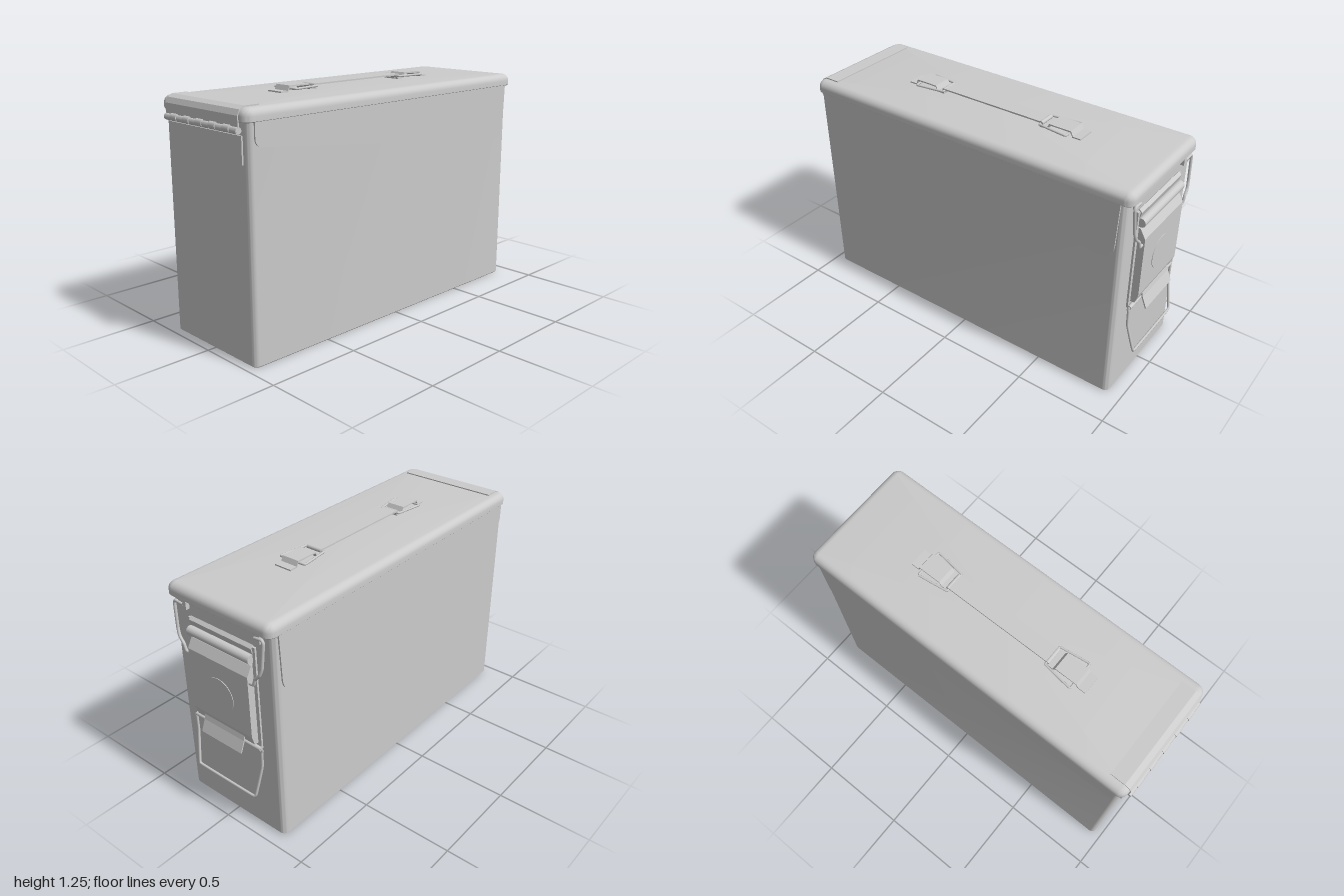
import * as THREE from 'three';
import { toCreasedNormals } from 'three/addons/utils/BufferGeometryUtils.js';

const material = new THREE.MeshStandardMaterial({ color: 0xcccccc, side: THREE.DoubleSide });

function add(parent, name, geometry, x = 0, y = 0, z = 0) {
  const mesh = new THREE.Mesh(geometry, material);
  mesh.name = name;
  mesh.position.set(x, y, z);
  parent.add(mesh);
  return mesh;
}

// Rounded-rectangle rings stacked in y; each level is [y, inset]
function roundedLoft(halfX, z0, z1, radius, levels) {
  const pos = [], index = [], seg = 8, n = 4 * (seg + 1);
  const midZ = (z0 + z1) / 2, halfZ = (z1 - z0) / 2;
  for (const [y, inset] of levels) {
    const r = radius - inset;
    for (let c = 0; c < 4; c++) {
      const sx = c === 0 || c === 3 ? 1 : -1, sz = c < 2 ? 1 : -1;
      for (let i = 0; i <= seg; i++) {
        const a = (c + i / seg) * Math.PI / 2;
        pos.push(sx * (halfX - radius) + r * Math.cos(a), y, midZ + sz * (halfZ - radius) + r * Math.sin(a));
      }
    }
  }
  const last = (levels.length - 1) * n;
  const bottom = pos.length / 3, top = bottom + 1;
  pos.push(0, levels[0][0], midZ, 0, levels[levels.length - 1][0], midZ);
  for (let j = 0; j < n; j++) {
    const k = (j + 1) % n;
    for (let o = 0; o < last; o += n) {
      index.push(o + j, o + n + j, o + k, o + k, o + n + j, o + n + k);
    }
    index.push(bottom, j, k, top, last + k, last + j);
  }
  const g = new THREE.BufferGeometry();
  g.setAttribute('position', new THREE.Float32BufferAttribute(pos, 3));
  g.setIndex(index);
  return toCreasedNormals(g, 0.6);
}

// Side profile drawn in (z, y), extruded across x and centred
function acrossX(shape, width) {
  const g = new THREE.ExtrudeGeometry(shape, { depth: width, bevelEnabled: false, curveSegments: 10 });
  g.translate(0, 0, -width / 2);
  g.rotateY(-Math.PI / 2);
  return g;
}

const profile = (pts) => new THREE.Shape(pts.map(([z, y]) => new THREE.Vector2(z, y)));

// Bent sheet metal following a (z, y) path
function sheet(pts, thickness, width) {
  const offset = pts.map((p, i) => {
    const a = pts[Math.max(i - 1, 0)], b = pts[Math.min(i + 1, pts.length - 1)];
    const dz = b[0] - a[0], dy = b[1] - a[1], l = Math.hypot(dz, dy);
    return [p[0] - dy / l * thickness, p[1] + dz / l * thickness];
  });
  return acrossX(profile([...pts, ...offset.reverse()]), width);
}

function wire(pts, radius, closed = false) {
  const curve = new THREE.CatmullRomCurve3(pts.map((p) => new THREE.Vector3(...p)), closed, 'catmullrom', 0.2);
  return new THREE.TubeGeometry(curve, 80, radius, 8, closed);
}

function rod(radius, length, sides = 16) {
  return new THREE.CylinderGeometry(radius, radius, length, sides).rotateZ(Math.PI / 2);
}

export function createModel() {
  const model = new THREE.Group();
  model.name = 'metalCase';

  add(model, 'body', roundedLoft(0.325, -0.925, 0.96, 0.03, [[0, 0.006], [0.006, 0], [1.17, 0]]));

  // Lid with a rounded upper edge
  const lidLevels = [[1.15, 0.004], [1.154, 0]];
  for (let i = 0; i <= 6; i++) {
    const a = i / 6 * Math.PI / 2;
    lidLevels.push([1.177 + 0.038 * Math.sin(a), 0.04 - 0.04 * Math.cos(a)]);
  }
  add(model, 'lid', roundedLoft(0.335, -0.957, 0.98, 0.045, lidLevels));

  // Sloping side flaps below the lid
  const flap = new THREE.Shape();
  flap.moveTo(0.93, 1.16);
  flap.lineTo(0.93, 1.08);
  flap.quadraticCurveTo(0.93, 1.04, 0.88, 1.036);
  flap.lineTo(-0.78, 0.85);
  flap.quadraticCurveTo(-0.885, 0.835, -0.89, 0.92);
  flap.lineTo(-0.9, 1.16);
  for (const s of [-1, 1]) add(model, s > 0 ? 'leftFlap' : 'rightFlap', acrossX(flap, 0.01), s * 0.328);

  // Front hinge
  const hinge = new THREE.Group();
  hinge.name = 'hinge';
  model.add(hinge);
  add(hinge, 'hingeLowerLeaf', new THREE.BoxGeometry(0.566, 0.13, 0.01), 0, 1.025, 0.963);
  add(hinge, 'hingeUpperLeaf', sheet([[0.977, 1.12], [0.979, 1.18], [0.968, 1.202],
    [0.944, 1.214], [0.865, 1.214]].reverse(), 0.007, 0.566));
  add(hinge, 'hingePin', rod(0.014, 0.566), 0, 1.117, 0.982);
  for (let i = 0; i < 11; i++) {
    const upper = i % 2;
    add(hinge, 'hingeKnuckle', rod(upper ? 0.019 : 0.0165, 0.049), (i - 5) * 0.0515, upper ? 1.117 : 1.114, 0.981);
  }

  // Carrying handle on the lid
  const handle = new THREE.Group();
  handle.name = 'handle';
  handle.position.z = 0.014;
  model.add(handle);
  add(handle, 'handleStrap', new THREE.BoxGeometry(0.09, 0.008, 0.62), 0, 1.238, 0);
  for (const s of [-1, 1]) {
    const end = new THREE.Group();
    end.name = s > 0 ? 'frontHandleEnd' : 'backHandleEnd';
    end.rotation.y = s > 0 ? 0 : Math.PI;
    handle.add(end);
    add(end, 'bracket', sheet([[0.3, 1.215], [0.345, 1.217], [0.357, 1.24], [0.478, 1.24],
      [0.488, 1.215], [0.535, 1.215]], 0.007, 0.1));
    add(end, 'strapLoop', rod(0.011, 0.09), 0, 1.233, 0.305);
    add(end, 'wireRing', wire([[-0.05, 1.231, 0.302], [0.05, 1.231, 0.302], [0.058, 1.231, 0.31],
      [0.077, 1.231, 0.455], [0.068, 1.231, 0.466], [-0.068, 1.231, 0.466],
      [-0.077, 1.231, 0.455], [-0.058, 1.231, 0.31]], 0.006, true));
  }

  // Latch on the back wall
  const latch = new THREE.Group();
  latch.name = 'latch';
  model.add(latch);
  add(latch, 'latchBasePlate', new THREE.BoxGeometry(0.43, 0.56, 0.012), 0, 0.78, -0.929);
  add(latch, 'latchRoll', rod(0.024, 0.4), 0, 1.0, -0.945);
  add(latch, 'latchTopFold', sheet([[-0.93, 1.07], [-0.945, 1.055], [-0.935, 1.02]], 0.006, 0.4));
  add(latch, 'lever', acrossX(profile([[-0.93, 0.97], [-0.945, 0.965], [-0.973, 0.915], [-0.973, 0.58],
    [-0.957, 0.53], [-0.93, 0.53]]), 0.39));
  add(latch, 'leverTab', sheet([[-0.965, 0.56], [-0.972, 0.53], [-0.996, 0.47]], 0.007, 0.27));
  add(latch, 'leverDisc', new THREE.CylinderGeometry(0.09, 0.09, 0.006, 40).rotateX(Math.PI / 2), 0, 0.735, -0.973);
  add(latch, 'lowerPivot', rod(0.011, 0.44), 0, 0.508, -0.945);
  add(latch, 'pullRing', wire([[-0.215, 0.51, -0.945], [0.215, 0.51, -0.945], [0.225, 0.495, -0.946],
    [0.222, 0.4, -0.948], [0.2, 0.24, -0.98], [0.18, 0.225, -0.983], [-0.18, 0.225, -0.983],
    [-0.2, 0.24, -0.98], [-0.222, 0.4, -0.948], [-0.225, 0.495, -0.946]], 0.007, true));

  // Wire bail that hooks the lid to the lever
  for (const s of [-1, 1]) {
    add(latch, s > 0 ? 'leftBail' : 'rightBail', wire([[s * 0.23, 1.125, -0.945], [s * 0.275, 1.13, -0.947],
      [s * 0.285, 1.115, -0.948], [s * 0.275, 0.99, -0.955], [s * 0.262, 0.95, -0.96],
      [s * 0.235, 0.92, -0.963], [s * 0.222, 0.885, -0.962], [s * 0.18, 0.878, -0.958]], 0.008));
    add(latch, 'lidHook', new THREE.BoxGeometry(0.05, 0.05, 0.022), s * 0.235, 1.125, -0.935);
  }
  return model;
}
